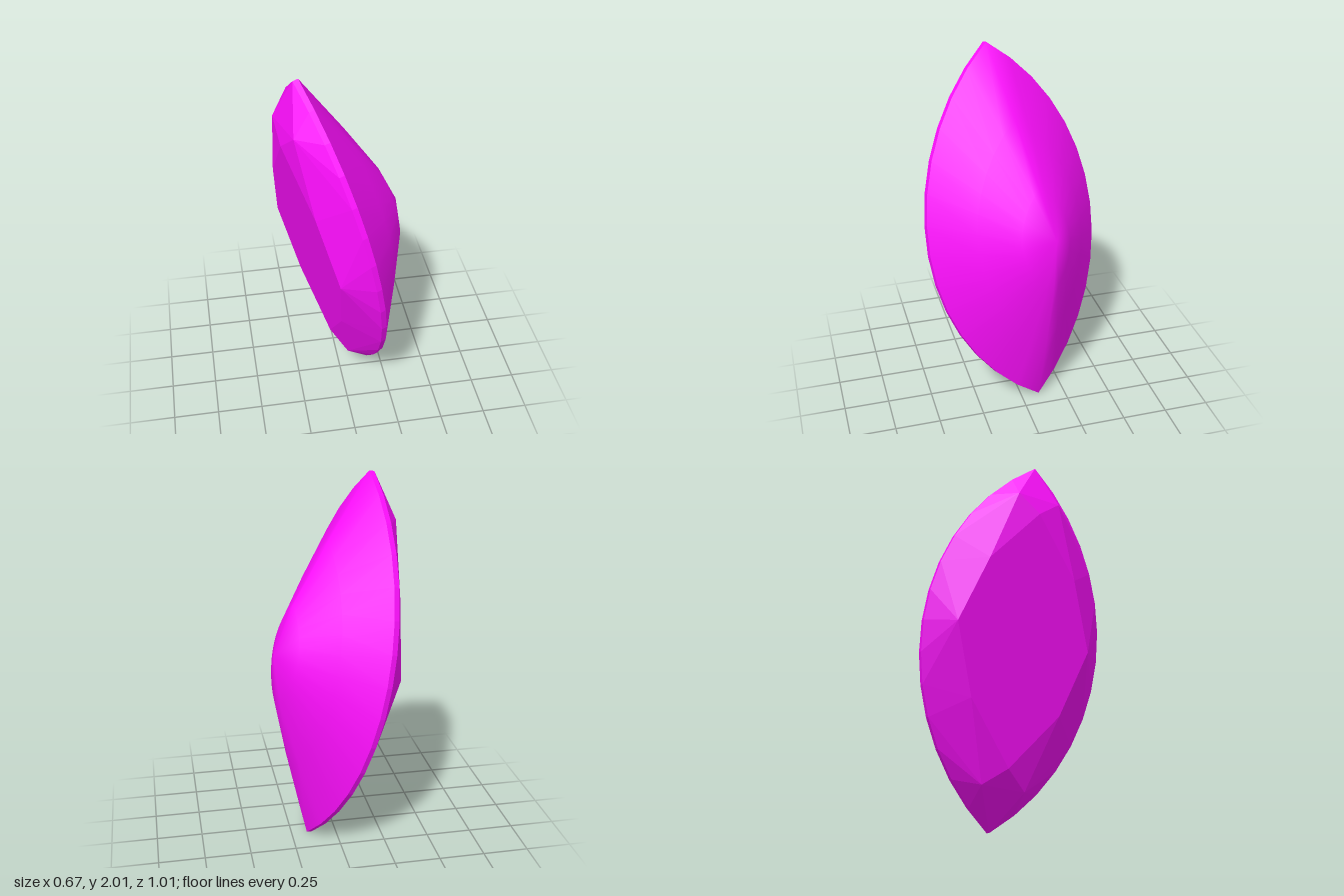
import * as THREE from 'three';
import { ConvexGeometry } from 'three/addons/geometries/ConvexGeometry.js';

const HALF_LENGTH = 1.023, HALF_WIDTH = 0.52, RIM = 0.015, SEGMENTS = 14;

// Pointed oval made of two circular arcs, counter-clockwise seen from +z
function marquise() {
  const offset = (HALF_LENGTH ** 2 - HALF_WIDTH ** 2) / (2 * HALF_WIDTH);
  const radius = offset + HALF_WIDTH;
  const sweep = Math.asin(HALF_LENGTH / radius);
  const points = [];
  for (const side of [1, -1]) {
    for (let i = 0; i < SEGMENTS; i++) {
      const a = sweep * (1 - (2 * i) / SEGMENTS);
      points.push([side * radius * Math.sin(a), side * (radius * Math.cos(a) - offset)]);
    }
  }
  return points;
}

// Smooth pavilion: scaled outlines rising to a point
function pavilionGeometry(outline) {
  const rings = [[1, RIM], [0.62, 0.19], [0.28, 0.335]]; // scale, height
  const n = outline.length, positions = [], index = [];
  for (const [s, h] of rings) for (const [x, y] of outline) positions.push(x * s, y * s, h);
  positions.push(0.015, -0.015, 0.41);
  const apex = rings.length * n;
  for (let r = 0; r < rings.length; r++) {
    for (let i = 0; i < n; i++) {
      const a = r * n + i, b = r * n + (i + 1) % n;
      if (r === rings.length - 1) index.push(a, b, apex);
      else index.push(a, b, b + n, a, b + n, a + n);
    }
  }
  const g = new THREE.BufferGeometry();
  g.setAttribute('position', new THREE.Float32BufferAttribute(positions, 3));
  g.setIndex(index);
  g.computeVertexNormals();
  return g;
}

// Faceted crown and girdle: convex hull, left open where the pavilion joins
function crownGeometry(outline) {
  const points = [];
  for (const [x, y] of outline) {
    points.push(new THREE.Vector3(x, y, RIM), new THREE.Vector3(x, y, -RIM));
  }
  for (const sx of [1, -1]) {
    points.push(new THREE.Vector3(sx * 0.7, 0, -0.155));
    points.push(new THREE.Vector3(0, sx * 0.385, -0.155));
    for (const sy of [1, -1]) {
      points.push(new THREE.Vector3(sx * 0.8, sy * 0.122, -0.12));
      points.push(new THREE.Vector3(sx * 0.38, sy * 0.255, -0.155));
    }
  }
  const p = new ConvexGeometry(points).getAttribute('position');
  const kept = [];
  for (let i = 0; i < p.count; i += 3) {
    if (Math.min(p.getZ(i), p.getZ(i + 1), p.getZ(i + 2)) > RIM - 1e-4) continue;
    for (let k = i; k < i + 3; k++) kept.push(p.getX(k), p.getY(k), p.getZ(k));
  }
  const g = new THREE.BufferGeometry();
  g.setAttribute('position', new THREE.Float32BufferAttribute(kept, 3));
  g.computeVertexNormals();
  return g;
}

export function createModel() {
  const model = new THREE.Group();
  model.name = 'gemstone';
  const color = 0xff0fff;
  const outline = marquise();

  const pavilion = new THREE.Mesh(pavilionGeometry(outline), new THREE.MeshStandardMaterial({ color }));
  pavilion.name = 'pavilion';
  const crown = new THREE.Mesh(crownGeometry(outline),
    new THREE.MeshStandardMaterial({ color, flatShading: true }));
  crown.name = 'crownAndGirdle';

  // Stand the stone on its tip, tilted, with the pavilion point towards +x
  const long = new THREE.Vector3(-0.186, 0.977, 0.093).normalize();
  const across = new THREE.Vector3(0.934, 0.205, -0.294).cross(long).normalize();
  const axis = long.clone().cross(across);
  const stone = new THREE.Group();
  stone.name = 'tiltedStone';
  stone.quaternion.setFromRotationMatrix(new THREE.Matrix4().makeBasis(long, across, axis));
  stone.position.set(-0.04, 1, 0);
  stone.add(pavilion, crown);
  model.add(stone);
  return model;
}
